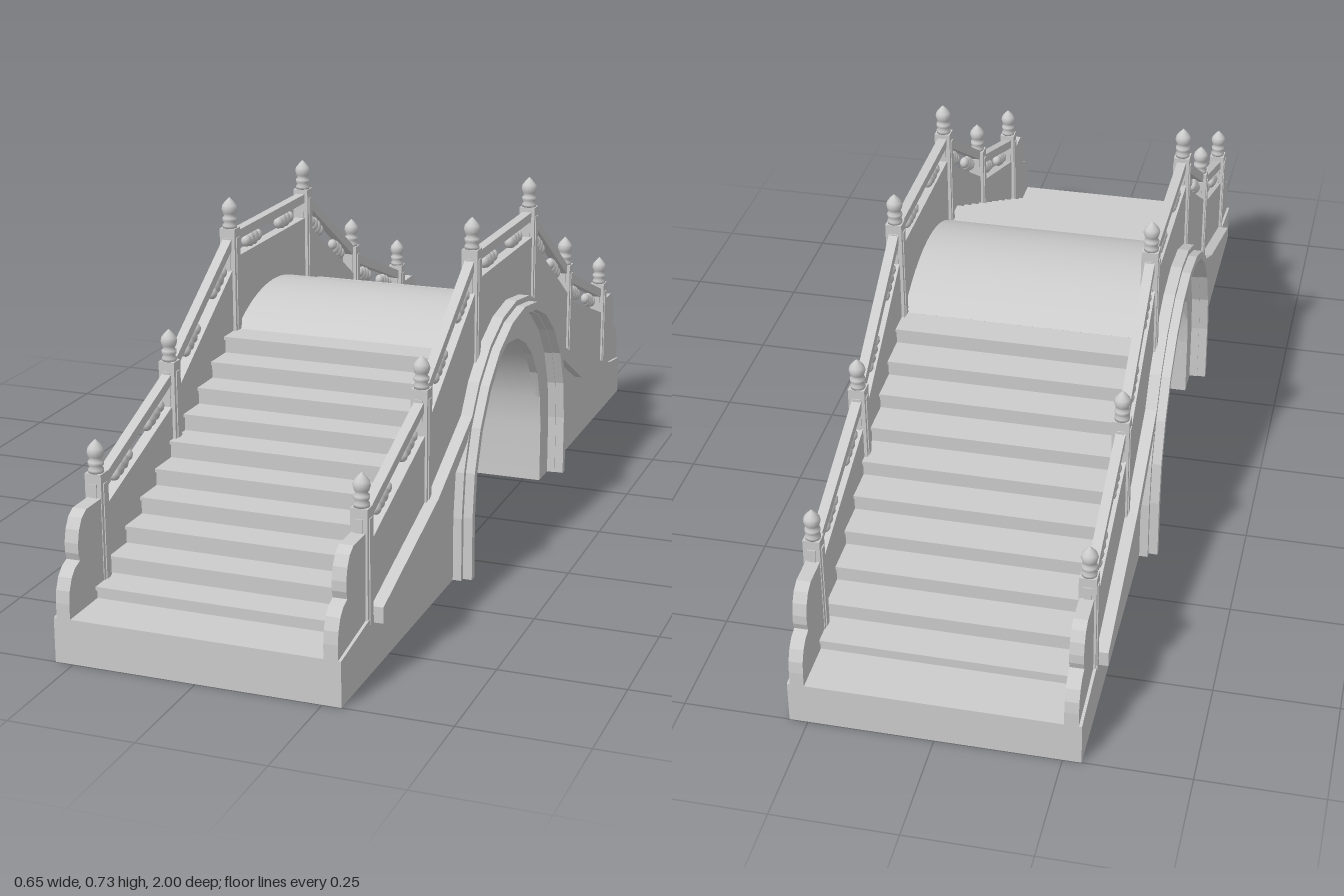
import * as THREE from 'three';
import { toCreasedNormals } from 'three/addons/utils/BufferGeometryUtils.js';

const SPRING = 0.135; // height where the arch starts to curve

export function createModel() {
  const bridge = new THREE.Group();
  const mat = new THREE.MeshStandardMaterial({ color: 0xcccccc, side: THREE.DoubleSide });

  const add = (name, geo, parent = bridge) => {
    const m = new THREE.Mesh(geo, mat);
    m.name = name;
    parent.add(m);
    return m;
  };
  // Extrude a (z, y) outline across x from x0 to x1
  const slab = (pts, x0, x1) => {
    const shape = new THREE.Shape(pts.map(p => new THREE.Vector2(p[0], p[1])));
    const geo = new THREE.ExtrudeGeometry(shape, { depth: x1 - x0, bevelEnabled: false });
    return geo.rotateY(-Math.PI / 2).translate(x1, 0, 0);
  };
  // Same slab on the side s = +1 or -1
  const sideSlab = (pts, s, a, b) => (s > 0 ? slab(pts, a, b) : slab(pts, -b, -a));
  const flip = pts => pts.map(([z, y]) => [-z, y]);
  const arc = (r, a0, a1, n) => Array.from({ length: n + 1 }, (_, i) => {
    const a = a0 + (a1 - a0) * i / n;
    return [r * Math.cos(a), SPRING + r * Math.sin(a)];
  });
  // Stilted arch line from the +z foot to the -z foot
  const arch = (r, n = 12) => [[r, 0], ...arc(r, 0, Math.PI, n), [-r, 0]];
  const archBand = (r0, r1, n) => [...arch(r1, n), ...arch(r0, n).reverse()];

  // Vault under the bridge and curved deck on top
  add('vault', toCreasedNormals(slab(archBand(0.27, 0.285, 12), -0.285, 0.285), 0.6));
  const half = 0.583;
  const deck = [
    ...arc(0.363, Math.PI / 2 - half, Math.PI / 2 + half, 16),
    ...arc(0.33, Math.PI / 2 + half, Math.PI / 2 - half, 16),
  ];
  add('deck', toCreasedNormals(slab(deck, -0.27, 0.27), 0.6));

  // Stairs with small nosings over a sloping underside
  const stairs = [[1, 0.06], [1, 0.09]];
  let level = 0.09;
  for (let i = 0; i < 10; i++) {
    const z = 0.895 - 0.0695 * i, top = 0.115 + 0.0359 * i;
    stairs.push([z - 0.006, level], [z - 0.006, top - 0.007], [z, top - 0.007], [z, top]);
    level = top;
  }
  stairs.push([0.2, level], [0.2, 0.4], [0.27, 0.37], [0.9, 0.06]);
  const plate = [[1, 0], [1, 0.09], [0.985, 0.09], [0.985, 0]];

  // Carved end scroll: two rounded lobes
  const scroll = [[0.855, 0.085], [1, 0.085], [1, 0.12], [0.997, 0.145], [0.987, 0.168],
    [0.972, 0.183], [0.952, 0.19], [0.957, 0.205], [0.957, 0.225], [0.951, 0.25],
    [0.939, 0.27], [0.92, 0.281], [0.855, 0.281]];

  for (const [end, f] of [['front', p => p], ['back', flip]]) {
    add(end + 'Stairs', slab(f(stairs), -0.27, 0.27));
    add(end + 'Plate', slab(f(plate), -0.287, 0.287));
    for (const s of [1, -1]) add(end + 'Scroll', sideSlab(f(scroll), s, 0.253, 0.281));
  }

  // Outlines of spandrel wall, parapet panel and sloping string course
  const rise = [[0.83, 0.115], [0.53, 0.2], [0.33, 0.31]];
  const both = pts => [...pts, ...flip(pts).reverse()];
  const wall = [[1, 0], [1, 0.09], ...rise, ...arc(0.355, 0.52, Math.PI - 0.52, 12),
    ...flip(rise).reverse(), [-1, 0.09], [-1, 0], ...arch(0.27).reverse()];
  const panelTop = [[0.845, 0.25], [0.515, 0.368], [0.515, 0.38], [0.205, 0.58], [0.205, 0.595]];
  const panel = [...both(panelTop), [-0.845, 0.1], ...flip(rise.slice(1)).reverse(),
    ...arc(0.345, Math.PI - 0.52, 0.52, 12), ...rise.slice(1).reverse(), [0.845, 0.1]];
  const course = [[0.83, 0.096], [0.83, 0.128], [0.517, 0.23], [0.3, 0.337], [0.335, 0.29], [0.56, 0.166]];

  // Post finial profile
  const finial = new THREE.LatheGeometry([[0, 0], [0.015, 0], [0.0155, 0.006], [0.012, 0.011],
    [0.0155, 0.016], [0.0155, 0.022], [0.011, 0.026], [0.0145, 0.032], [0.017, 0.041],
    [0.015, 0.049], [0.008, 0.058], [0, 0.066]].map(p => new THREE.Vector2(...p)), 14);
  const bead = new THREE.SphereGeometry(1, 10, 8);

  // Posts: z, foot, top
  const posts = [[0.845, 0.09, 0.328], [0.515, 0.215, 0.455], [0.205, 0.42, 0.66]];
  // Handrail centre lines: start z, y, end z, y, gap down to the panel
  const rails = [[0.845, 0.3, 0.515, 0.425], [0.515, 0.438, 0.205, 0.636]];
  const allRails = [...rails, ...rails.map(([a, b, c, d]) => [-c, d, -a, b]), [0.205, 0.64, -0.205, 0.64]];

  for (const s of [1, -1]) {
    const side = new THREE.Group();
    side.name = s > 0 ? 'leftSide' : 'rightSide';
    bridge.add(side);
    const X = 0.2685 * s;

    add('spandrelWall', sideSlab(wall, s, 0.27, 0.287), side);
    add('parapetPanel', sideSlab(panel, s, 0.258, 0.281), side);
    add('outerArchMoulding', sideSlab(archBand(0.335, 0.366, 12), s, 0.28, 0.305), side);
    add('innerArchMoulding', sideSlab(archBand(0.337, 0.354, 12), s, 0.3, 0.324), side);
    add('stringCourse', sideSlab(course, s, 0.28, 0.305), side);
    add('stringCourse', sideSlab(flip(course), s, 0.28, 0.305), side);

    for (const [z, y0, y1] of posts) for (const e of [1, -1]) {
      const post = new THREE.Group();
      post.name = 'post';
      post.position.set(X, 0, z * e);
      side.add(post);
      const h = y1 - y0;
      add('shaft', new THREE.BoxGeometry(0.034, h, 0.03), post).position.y = y0 + h / 2;
      // Raised fields on the four faces
      const field = h - 0.03;
      add('postField', new THREE.BoxGeometry(0.016, field, 0.035), post).position.y = y0 + h / 2 - 0.005;
      add('postField', new THREE.BoxGeometry(0.038, field, 0.014), post).position.y = y0 + h / 2 - 0.005;
      add('finial', finial, post).position.y = y1;
    }

    for (const [z0, y0, z1, y1] of allRails) {
      const run = new THREE.Group();
      run.name = 'railRun';
      run.position.set(X, (y0 + y1) / 2, (z0 + z1) / 2);
      run.rotation.x = Math.atan2(y1 - y0, z0 - z1);
      side.add(run);
      const len = Math.hypot(z1 - z0, y1 - y0);
      add('handrail', new THREE.BoxGeometry(0.02, 0.02, len), run);
      // Two carved cloud supports below each rail
      for (const c of [-0.22, 0.22]) for (let i = 0; i < 4; i++) {
        const b = add('cloudSupport', bead, run);
        b.scale.set(0.011, i % 3 ? 0.017 : 0.013, 0.013);
        b.position.set(0, -0.028, c * len + (i - 1.5) * 0.02);
      }
    }
  }
  return bridge;
}
